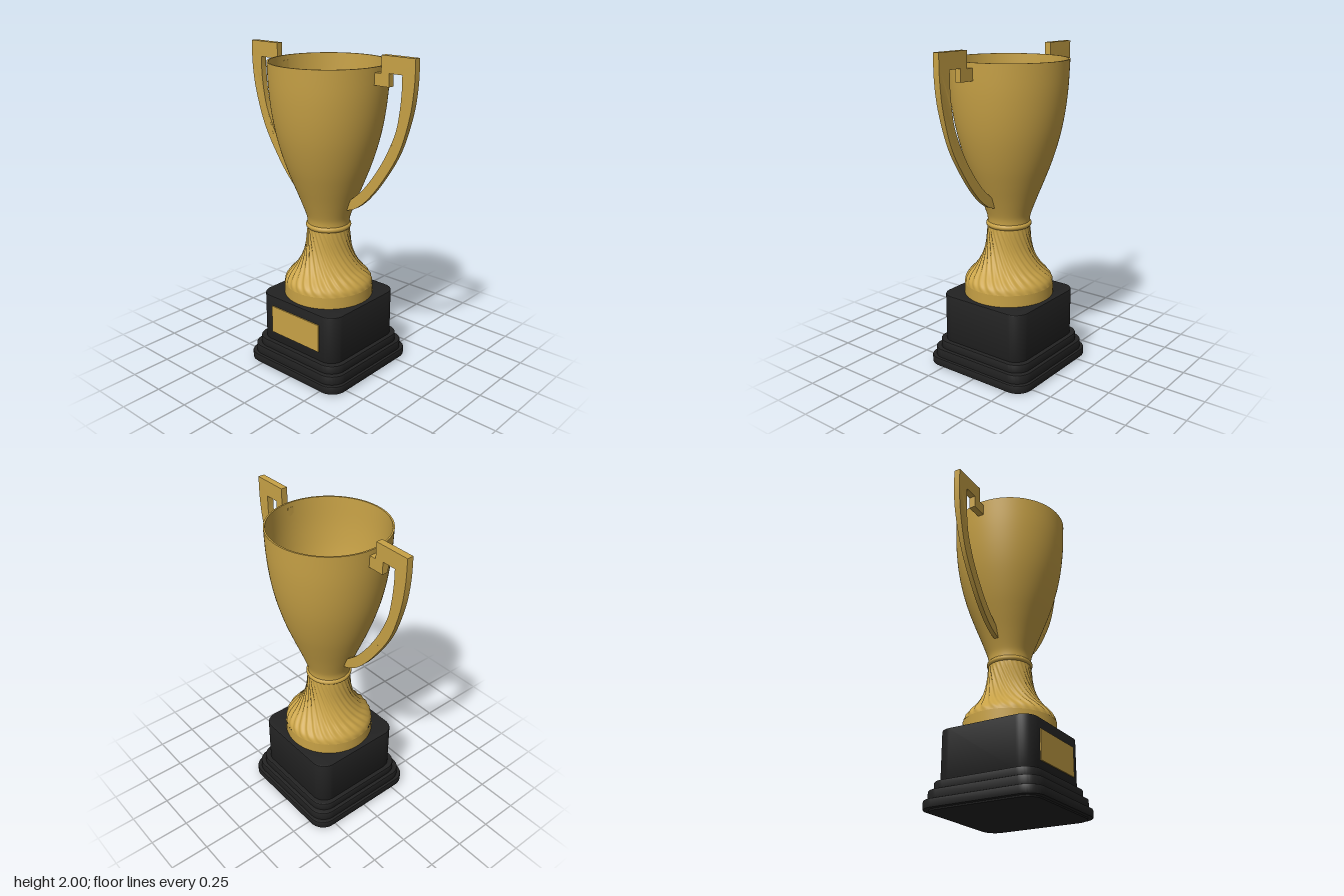
import * as THREE from 'three';
import { mergeVertices, toCreasedNormals } from 'three/addons/utils/BufferGeometryUtils.js';

const gold = new THREE.MeshStandardMaterial({ color: 0xc8a246 });
gold.name = 'gold';
const black = new THREE.MeshStandardMaterial({ color: 0x222222 });
black.name = 'black';

const vec = (pts) => pts.map(([x, y]) => new THREE.Vector2(x, y));
const smooth = (pts, n) => new THREE.SplineCurve(vec(pts)).getPoints(n);

function add(parent, name, geometry, material) {
  const mesh = new THREE.Mesh(geometry, material);
  mesh.name = name;
  parent.add(mesh);
  return mesh;
}

// Square slab with rounded corners and a slight edge bevel
function slab(half, radius, y0, y1) {
  const b = 0.006, h = half - b, r = radius - b, c = h - r;
  const s = new THREE.Shape();
  s.absarc(c, c, r, 0, Math.PI / 2);
  s.absarc(-c, c, r, Math.PI / 2, Math.PI);
  s.absarc(-c, -c, r, Math.PI, Math.PI * 1.5);
  s.absarc(c, -c, r, Math.PI * 1.5, Math.PI * 2);
  s.closePath();
  const g = new THREE.ExtrudeGeometry(s, {
    depth: y1 - y0 - 2 * b, bevelSize: b, bevelThickness: b, bevelSegments: 2, curveSegments: 10,
  });
  g.rotateX(-Math.PI / 2).translate(0, y0 + b, 0);
  return toCreasedNormals(g, 0.6);
}

// Stem with spiral flutes that fade out at both ends
function flutedStem() {
  const y0 = 0.545, y1 = 0.925, flutes = 28;
  const profile = smooth([[0.278, y0], [0.27, 0.575], [0.248, 0.605], [0.206, 0.65], [0.174, 0.7],
    [0.153, 0.75], [0.141, 0.8], [0.134, 0.86], [0.13, y1]], 36);
  let g = new THREE.LatheGeometry(profile, flutes * 8);
  const p = g.attributes.position;
  for (let i = 0; i < p.count; i++) {
    const x = p.getX(i), y = p.getY(i), z = p.getZ(i);
    const fade = Math.min(1, (y - y0) / 0.07, (y1 - y) / 0.05);
    const wave = Math.sin(flutes * (Math.atan2(x, z) + 3 * (y - y0)));
    const k = 1 + 0.026 * Math.max(0, fade) * wave;
    p.setX(i, x * k);
    p.setZ(i, z * k);
  }
  g.deleteAttribute('uv');
  g.deleteAttribute('normal');
  g = mergeVertices(g, 1e-5);
  g.computeVertexNormals();
  return g;
}

// Flat handle: square hook at the rim, long curve back to the bowl, thinner low down
function handleGeometry() {
  const s = new THREE.Shape();
  s.moveTo(0.4, 2);
  s.lineTo(0.4, 1.9);
  s.lineTo(0.345, 1.9);
  s.lineTo(0.345, 1.83);
  s.lineTo(0.455, 1.83);
  s.lineTo(0.455, 1.905);
  s.lineTo(0.542, 1.905);
  s.splineThru(vec([[0.542, 1.82], [0.53, 1.7], [0.5, 1.57], [0.412, 1.39], [0.29, 1.22], [0.18, 1.12]]));
  s.lineTo(0.15, 1.05);
  s.splineThru(vec([[0.225, 1.08], [0.31, 1.15], [0.415, 1.28], [0.53, 1.47], [0.598, 1.68], [0.623, 1.85], [0.625, 2]]));
  s.closePath();
  const g = new THREE.ExtrudeGeometry(s, { depth: 0.04, bevelEnabled: false, curveSegments: 5, steps: 1 });
  g.translate(0, 0, -0.02);
  const p = g.attributes.position;
  for (let i = 0; i < p.count; i++) {
    const t = THREE.MathUtils.smoothstep(p.getY(i), 1.4, 1.85);
    p.setZ(i, p.getZ(i) * (0.7 + 0.3 * t));
  }
  return toCreasedNormals(g, 0.6);
}

export function createModel() {
  const model = new THREE.Group();
  model.name = 'trophy';

  // Stepped plinth
  const plinth = new THREE.Group();
  plinth.name = 'plinth';
  model.add(plinth);
  [
    ['plinthFoot', 0.352, 0.09, 0, 0.02],
    ['plinthStepLower', 0.378, 0.1, 0.01, 0.062],
    ['plinthStepMiddle', 0.36, 0.1, 0.055, 0.118],
    ['plinthStepUpper', 0.337, 0.1, 0.11, 0.17],
    ['plinthBlock', 0.309, 0.09, 0.16, 0.475],
  ].forEach(([name, half, r, y0, y1]) => add(plinth, name, slab(half, r, y0, y1), black));

  // Blank plate on the front
  add(model, 'plaque', new THREE.BoxGeometry(0.395, 0.18, 0.009), gold).position.set(0, 0.32, 0.3115);

  // Foot collar, stem and neck ring
  add(model, 'footCollar', new THREE.LatheGeometry(vec([[0.28, 0.47], [0.28, 0.548]]), 72), gold);
  add(model, 'flutedStem', flutedStem(), gold);
  const ring = add(model, 'neckRing', new THREE.TorusGeometry(0.123, 0.018, 12, 72), gold);
  ring.rotation.x = Math.PI / 2;
  ring.position.y = 0.928;

  // Bowl: outer wall, rim, hollow inside
  const wall = [[0.13, 0.935], [0.132, 0.97], [0.143, 1.01], [0.177, 1.1], [0.217, 1.2], [0.255, 1.3],
    [0.287, 1.4], [0.313, 1.5], [0.332, 1.6], [0.345, 1.7], [0.353, 1.8], [0.358, 1.93]];
  const lining = [[0.348, 1.93], [0.343, 1.8], [0.335, 1.7], [0.322, 1.6], [0.302, 1.5], [0.275, 1.4],
    [0.242, 1.3], [0.203, 1.2], [0.16, 1.1], [0.115, 1.04], [0.065, 1.012], [0.001, 1.005]];
  const bowl = new THREE.Group();
  bowl.name = 'bowl';
  model.add(bowl);
  add(bowl, 'bowlWall', new THREE.LatheGeometry(smooth(wall, 44), 96), gold);
  add(bowl, 'bowlRim', new THREE.LatheGeometry(vec([[0.358, 1.93], [0.348, 1.93]]), 96), gold);
  add(bowl, 'bowlLining', new THREE.LatheGeometry(smooth(lining, 40), 96), gold);

  // Pair of handles
  const handle = handleGeometry();
  add(model, 'leftHandle', handle, gold);
  add(model, 'rightHandle', handle, gold).rotation.y = Math.PI;

  return model;
}
